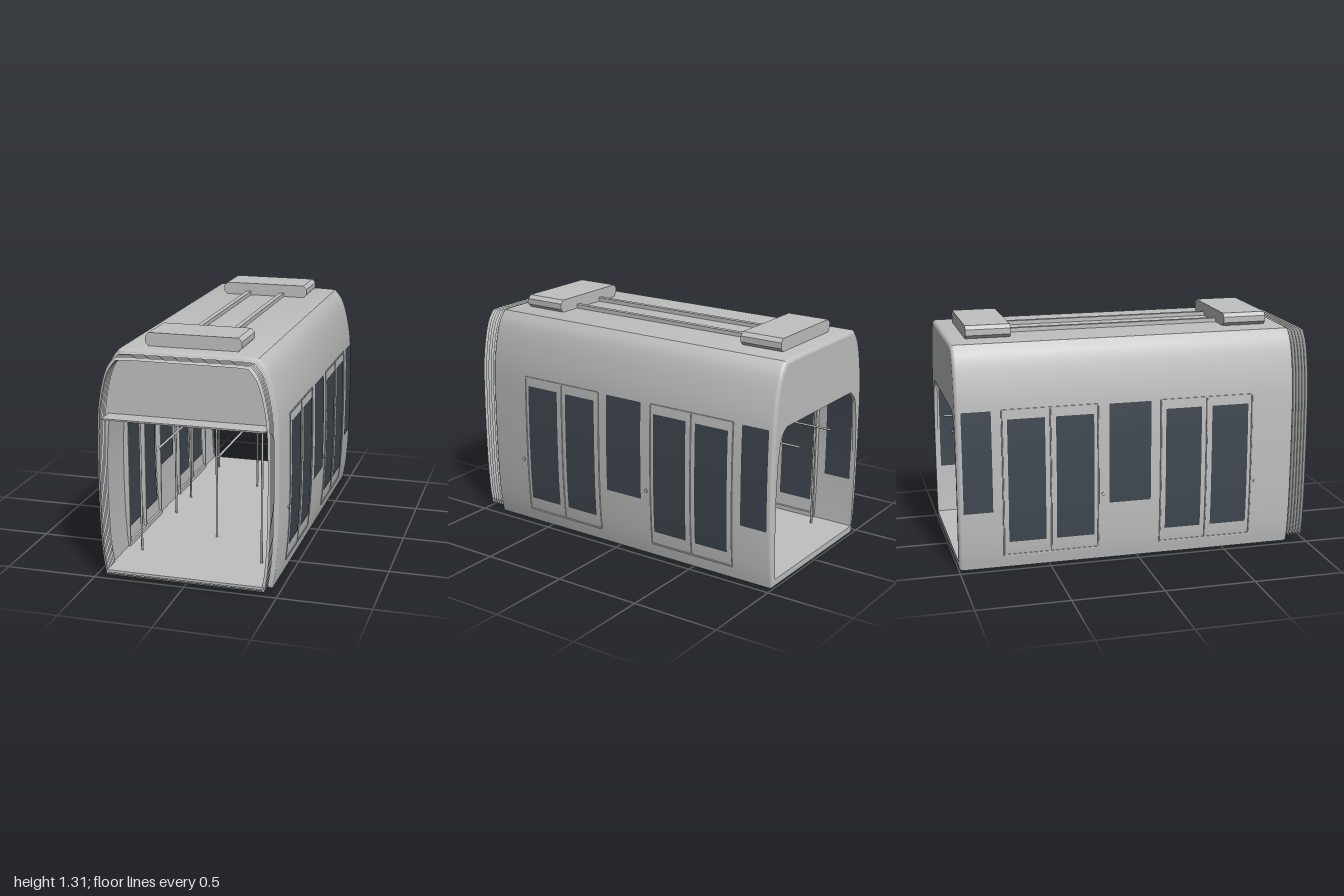
import * as THREE from 'three';
import { toCreasedNormals } from 'three/addons/utils/BufferGeometryUtils.js';

const V2 = (x, y) => new THREE.Vector2(x, y);

// Mirror a right-hand half outline (bottom to top) into a closed counter-clockwise loop
const mirrorLoop = (half) => [...half, ...half.slice().reverse().map((p) => V2(-p.x, p.y))];
const smooth = (pts, n) => new THREE.SplineCurve(pts.map((p) => V2(...p))).getPoints(n);

// Cross-sections: outer skin, cabin lining, rear doorway
const outerHalf = [...smooth([[0.45, 0], [0.466, 0.1], [0.477, 0.25], [0.482, 0.45], [0.482, 0.7], [0.475, 0.91],
  [0.452, 1.06], [0.418, 1.17], [0.372, 1.232]], 40), V2(0.3, 1.236)];
const innerHalf = smooth([[0.432, 0.05], [0.444, 0.25], [0.449, 0.5], [0.445, 0.7], [0.43, 0.885]], 16);
const archHalf = smooth([[0.43, 0.05], [0.443, 0.4], [0.435, 0.65], [0.417, 0.785], [0.397, 0.84], [0.352, 0.88]], 20);
const outer = mirrorLoop(outerHalf), inner = mirrorLoop(innerHalf), arch = mirrorLoop(archHalf);

const inset = (loop, d) => loop.map((p) => V2(p.x * (1 - d / 0.48), 0.618 + (p.y - 0.618) * (1 - d / 0.618)));

// Half width of an outline at height y
function halfWidth(half, y) {
  for (let i = 1; i < half.length; i++) {
    const a = half[i - 1], b = half[i];
    if (y <= b.y) return a.x + (b.x - a.x) * (y - a.y) / (b.y - a.y);
  }
  return half[half.length - 1].x;
}

// Skin a loop along z; rings are [z, inset]
function loft(loop, rings, flip = false, crease = 0.6) {
  const pos = [], idx = [], n = loop.length;
  for (const [z, d] of rings) for (const p of inset(loop, d)) pos.push(p.x, p.y, z);
  for (let k = 0; k < rings.length - 1; k++) {
    for (let i = 0; i < n; i++) {
      const j = (i + 1) % n, a = k * n + i, b = k * n + j, c = b + n, d = a + n;
      if (flip) idx.push(a, c, b, a, d, c);
      else idx.push(a, b, c, a, c, d);
    }
  }
  const g = new THREE.BufferGeometry();
  g.setAttribute('position', new THREE.Float32BufferAttribute(pos, 3));
  g.setIndex(idx);
  return toCreasedNormals(g, crease);
}

// Thin sheet that follows a side wall
function wallSheet(half, side, offset, z0, z1, y0, y1) {
  const g = new THREE.PlaneGeometry(1, 1, 1, 10), p = g.attributes.position;
  for (let i = 0; i < p.count; i++) {
    const y = y0 + (p.getY(i) + 0.5) * (y1 - y0);
    const z = z0 + (0.5 - side * p.getX(i)) * (z1 - z0);
    p.setXYZ(i, side * (halfWidth(half, y) + offset), y, z);
  }
  g.computeVertexNormals();
  return g;
}

export function createModel() {
  const model = new THREE.Group();
  model.name = 'tramSection';
  const mat = (name, color, side = THREE.FrontSide) => {
    const m = new THREE.MeshStandardMaterial({ color, side });
    m.name = name;
    return m;
  };
  const grey = mat('bodyGrey', 0xc0c0c0, THREE.DoubleSide);
  const glass = mat('darkGlass', 0x3f474f, THREE.DoubleSide);

  const add = (name, geo, material = grey, x = 0, y = 0, z = 0) => {
    const m = new THREE.Mesh(geo, material);
    m.name = name;
    m.position.set(x, y, z);
    model.add(m);
    return m;
  };
  const box = (name, x0, x1, y0, y1, z0, z1, material = grey) =>
    add(name, new THREE.BoxGeometry(Math.abs(x1 - x0), y1 - y0, z1 - z0), material,
      (x0 + x1) / 2, (y0 + y1) / 2, (z0 + z1) / 2);

  // Shell with rounded ends, and the cabin lining
  add('bodyShell', loft(outer, [[-1, 0.02], [-0.997, 0.01], [-0.99, 0.003], [-0.98, 0],
    [0.88, 0], [0.89, 0.003], [0.897, 0.01], [0.9, 0.02]]));
  add('cabinLining', loft(inner, [[-0.985, 0], [0.89, 0]], true));

  // End walls with doorways
  const endWall = (name, hole, z) => {
    const s = new THREE.Shape(inset(outer, 0.02));
    s.holes.push(new THREE.Path(hole));
    add(name, new THREE.ExtrudeGeometry(s, { depth: 0.02, bevelEnabled: false }), grey, 0, 0, z);
  };
  endWall('rearEndWall', arch, -1);
  endWall('frontEndWall', inner, 0.875);

  // Pleated bellows
  const pleats = [];
  for (let i = 0; i <= 12; i++) pleats.push([0.892 + i * 0.009, i % 2 ? 0.018 : 0.032]);
  add('bellows', loft(outer, pleats, false, 0.3));
  box('gangwayFloor', -0.43, 0.43, 0.036, 0.05, 0.88, 1);
  box('gangwayCeiling', -0.435, 0.435, 0.878, 0.886, 0.88, 1);

  // Roof units and the pipes between them
  const w = 0.26, c = 0.02, y0 = 1.235, y1 = 1.307;
  const unit = new THREE.Shape([[-w + c, y0], [w - c, y0], [w, y0 + c], [w, y1 - c], [w - c, y1],
    [-w + c, y1], [-w, y1 - c], [-w, y0 + c]].map((p) => V2(...p)));
  for (const z of [-0.9, 0.555])
    add('roofUnit', new THREE.ExtrudeGeometry(unit, { depth: 0.245, bevelEnabled: false }), grey, 0, 0, z);
  for (const s of [-1, 1]) box('roofPipe', s * 0.09, s * 0.118, 1.23, 1.258, -0.66, 0.56);

  // Side windows and doors
  const doors = [0.39, -0.49];
  for (const s of [-1, 1]) {
    const pane = (name, z0, z1, yLow, yHigh) => {
      add(name, wallSheet(outerHalf, s, 0.003, z0, z1, yLow, yHigh), glass);
      add(name + 'Inside', wallSheet(innerHalf, s, -0.003, z0, z1, yLow, Math.min(yHigh, 0.875)), glass);
    };
    pane('window', -0.165, 0.07, 0.33, 0.89);
    pane('window', -0.97, -0.81, 0.33, 0.89);
    for (const d of doors) {
      pane('doorGlass', d + 0.03, d + 0.24, 0.15, 0.84);
      pane('doorGlass', d - 0.235, d - 0.03, 0.15, 0.84);
      for (const y of [0.072, 0.89]) {
        const x = halfWidth(outerHalf, y);
        box('doorFrameRail', s * (x - 0.008), s * (x + 0.005), y - 0.004, y + 0.004, d - 0.263, d + 0.263);
      }
      for (const dz of [-0.263, 0, 0.263]) {
        const pts = [];
        for (let i = 0; i <= 8; i++) {
          const y = 0.072 + i * 0.818 / 8;
          pts.push(new THREE.Vector3(s * halfWidth(outerHalf, y), y, d + dz));
        }
        add('doorFramePost', new THREE.TubeGeometry(new THREE.CatmullRomCurve3(pts), 16, 0.004, 6));
        box('innerDoorPost', s * 0.42, s * 0.45, 0.05, 0.87, d + dz - 0.006, d + dz + 0.006);
      }
      box('innerDoorSill', s * 0.42, s * 0.445, 0.05, 0.075, d - 0.263, d + 0.263);
      box('innerDoorHeader', s * 0.42, s * 0.445, 0.855, 0.87, d - 0.263, d + 0.263);
      // Door button
      const button = add('doorButton', new THREE.CylinderGeometry(0.01, 0.01, 0.014, 12), grey, s * 0.481, 0.385, d + 0.29);
      button.rotation.z = Math.PI / 2;
      // Grab poles on both sides of the door
      for (const dz of [-0.3, 0.3])
        add('grabPole', new THREE.CylinderGeometry(0.006, 0.006, 0.83, 10), grey, s * 0.34, 0.46, d + dz);
    }
    // Overhead handrail
    const rail = add('handrail', new THREE.CylinderGeometry(0.006, 0.006, 1.9, 10), grey, s * 0.17, 0.71, -0.03);
    rail.rotation.x = Math.PI / 2;
  }
  for (const d of doors)
    add('centrePole', new THREE.CylinderGeometry(0.006, 0.006, 0.835, 10), grey, 0, 0.4675, d);

  // Hanging display
  box('displayCase', -0.125, 0.125, 0.762, 0.85, -0.015, 0.015);
  box('displayHanger', -0.01, 0.01, 0.85, 0.885, -0.006, 0.006);
  for (const s of [-1, 1]) box('displayScreen', -0.115, 0.115, 0.77, 0.844, s * 0.016 - 0.002, s * 0.016 + 0.002, glass);

  return model;
}
